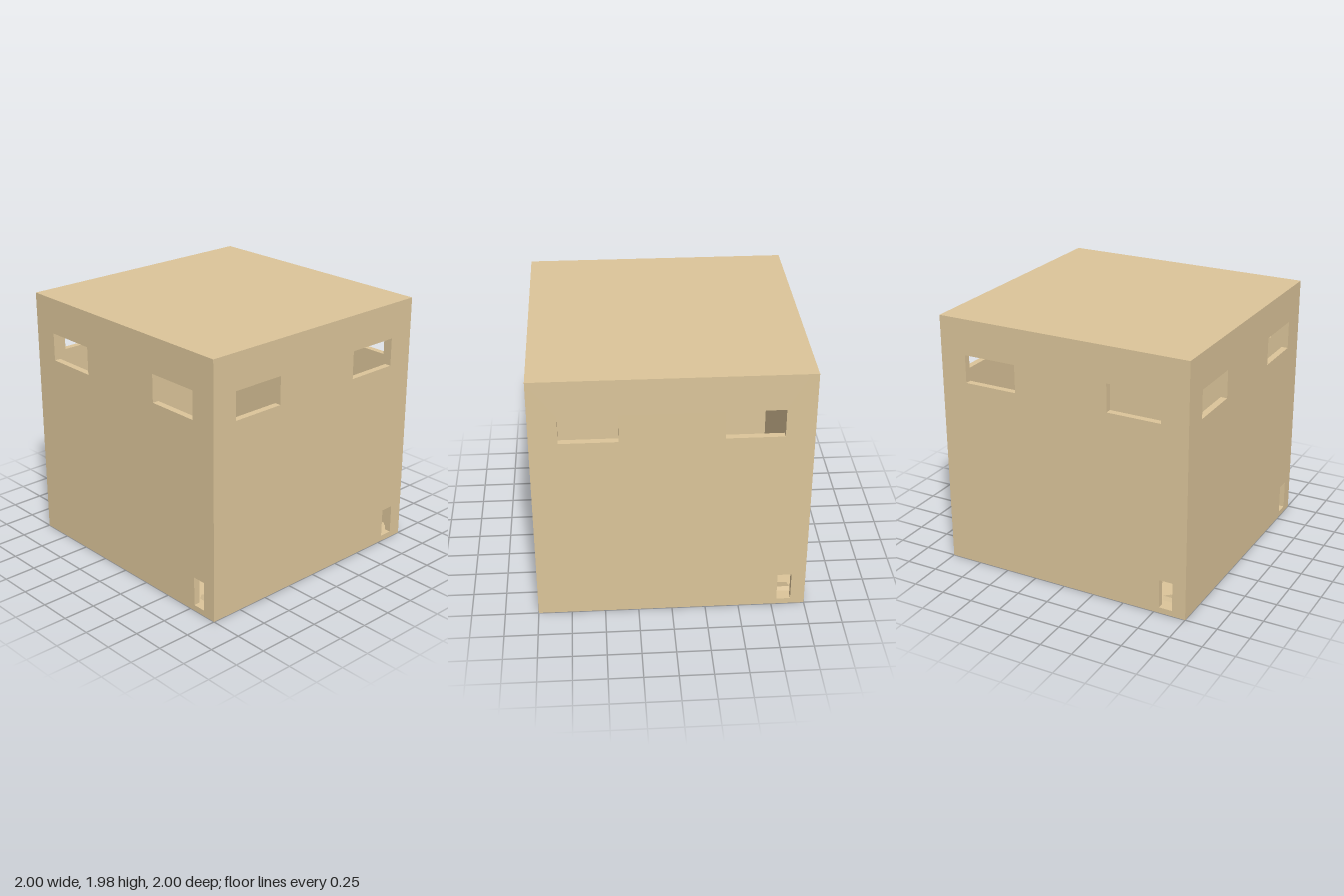
import * as THREE from 'three';

const H = 1.975;   // overall height
const T = 0.05;    // wall thickness

// Rectangular path from corner to corner
function rect(Type, x0, y0, x1, y1) {
  const p = new Type();
  p.moveTo(x0, y0);
  p.lineTo(x1, y0);
  p.lineTo(x1, y1);
  p.lineTo(x0, y1);
  p.closePath();
  return p;
}

export function createModel() {
  const group = new THREE.Group();
  group.name = 'ventedBox';
  const wood = new THREE.MeshStandardMaterial({ color: 0xdcc59a });

  function add(parent, name, geometry, x = 0, y = 0, z = 0) {
    const mesh = new THREE.Mesh(geometry, wood);
    mesh.name = name;
    mesh.position.set(x, y, z);
    parent.add(mesh);
    return mesh;
  }

  // Wall panel with two upper windows and a low corner slot;
  // one end stops short so that four panels interlock at the corners
  const shape = rect(THREE.Shape, -1, 0, 1 - T, H);
  shape.holes.push(
    rect(THREE.Path, -0.795, 1.485, -0.375, 1.7),
    rect(THREE.Path, 0.37, 1.485, 0.79, 1.7),
    rect(THREE.Path, 0.79, 0.045, 0.895, 0.27)
  );
  const wallGeometry = new THREE.ExtrudeGeometry(shape, { depth: T, bevelEnabled: false });

  // Small ramp leading from each slot down to the floor
  const rampGeometry = new THREE.BoxGeometry(0.105, 0.033, 0.14);
  rampGeometry.translate(0, -0.0165, -0.07);

  ['front', 'left', 'back', 'right'].forEach((side, i) => {
    const panel = new THREE.Group();
    panel.name = side + 'Side';
    panel.rotation.y = i * Math.PI / 2;
    add(panel, side + 'Wall', wallGeometry, 0, 0, 1 - T);
    const ramp = add(panel, side + 'Ramp', rampGeometry, 0.8425, 0.105, 0.93);
    ramp.rotation.x = -0.44;
    group.add(panel);
  });

  // Floor and roof set between the walls
  const plate = new THREE.BoxGeometry(2 - 2 * T, 0.045, 2 - 2 * T);
  add(group, 'floor', plate, 0, 0.0225, 0);
  add(group, 'roof', plate, 0, H - 0.0225, 0);

  return group;
}
